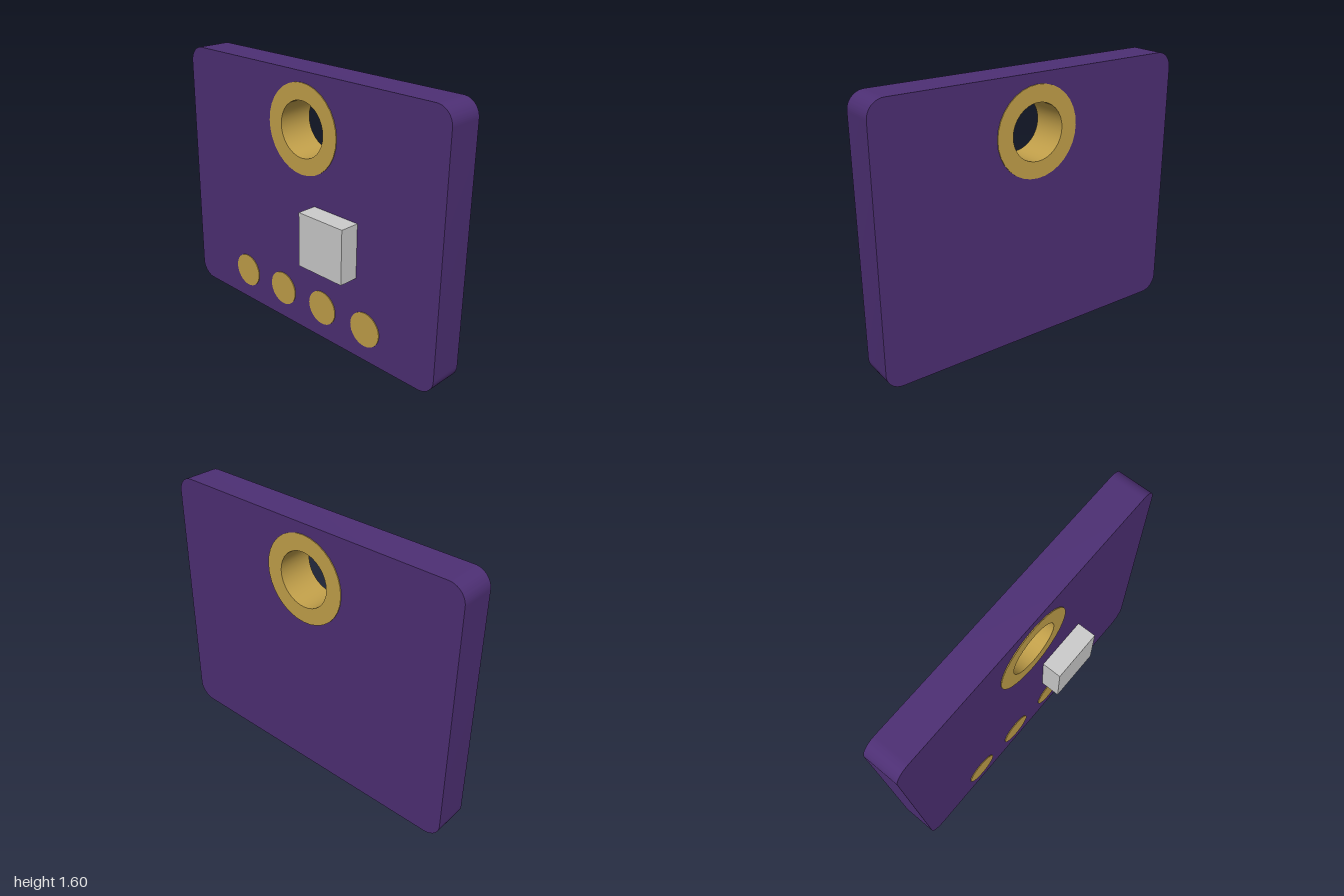
import * as THREE from 'three';
import { toCreasedNormals } from 'three/addons/utils/BufferGeometryUtils.js';

const BACK = -0.165, FRONT = 0.048, PLATING = 0.005;
const HOLE_Y = 1.27;

const purple = new THREE.MeshStandardMaterial({ color: 0x4d2f74 });
const gold = new THREE.MeshStandardMaterial({ color: 0xc2a04a });
const grey = new THREE.MeshStandardMaterial({ color: 0xcccccc });

function circlePath(PathType, x, y, r) {
  return new PathType().absarc(x, y, r, 0, Math.PI * 2, false);
}

function roundedRect(x0, y0, x1, y1, r) {
  const s = new THREE.Shape();
  s.absarc(x1 - r, y0 + r, r, -Math.PI / 2, 0, false);
  s.absarc(x1 - r, y1 - r, r, 0, Math.PI / 2, false);
  s.absarc(x0 + r, y1 - r, r, Math.PI / 2, Math.PI, false);
  s.absarc(x0 + r, y0 + r, r, Math.PI, Math.PI * 1.5, false);
  s.closePath();
  return s;
}

// Flat plate between two z positions, smooth around its curved walls
function plate(name, shape, z0, z1, material) {
  const geometry = new THREE.ExtrudeGeometry(shape, {
    depth: z1 - z0, bevelEnabled: false, curveSegments: 16,
  });
  geometry.translate(0, 0, z0);
  const mesh = new THREE.Mesh(toCreasedNormals(geometry, 0.5), material);
  mesh.name = name;
  return mesh;
}

export function createModel() {
  const model = new THREE.Group();
  model.name = 'circuitBoard';

  // Board with rounded corners; its hole is hidden inside the gold eyelet
  const board = roundedRect(-1, 0, 1, 1.6, 0.1);
  board.holes.push(circlePath(THREE.Path, 0, HOLE_Y, 0.21));
  model.add(plate('board', board, BACK, FRONT, purple));

  // Plated eyelet: ring on both faces plus the lining of the hole
  const ring = circlePath(THREE.Shape, 0, HOLE_Y, 0.267);
  ring.holes.push(circlePath(THREE.Path, 0, HOLE_Y, 0.167));
  model.add(plate('eyelet', ring, BACK - PLATING, FRONT + PLATING, gold));

  // Row of contact pads along the lower edge
  for (let i = 0; i < 4; i++) {
    const pad = circlePath(THREE.Shape, (i - 1.5) * 0.339, 0.203, 0.107);
    model.add(plate(`contactPad${i + 1}`, pad, FRONT - 0.01, FRONT + PLATING, gold));
  }

  // Chip block on the front face
  const chip = new THREE.Mesh(new THREE.BoxGeometry(0.333, 0.333, 0.122), grey);
  chip.name = 'chip';
  chip.position.set(0.265, 0.668, FRONT + 0.061);
  model.add(chip);

  return model;
}
